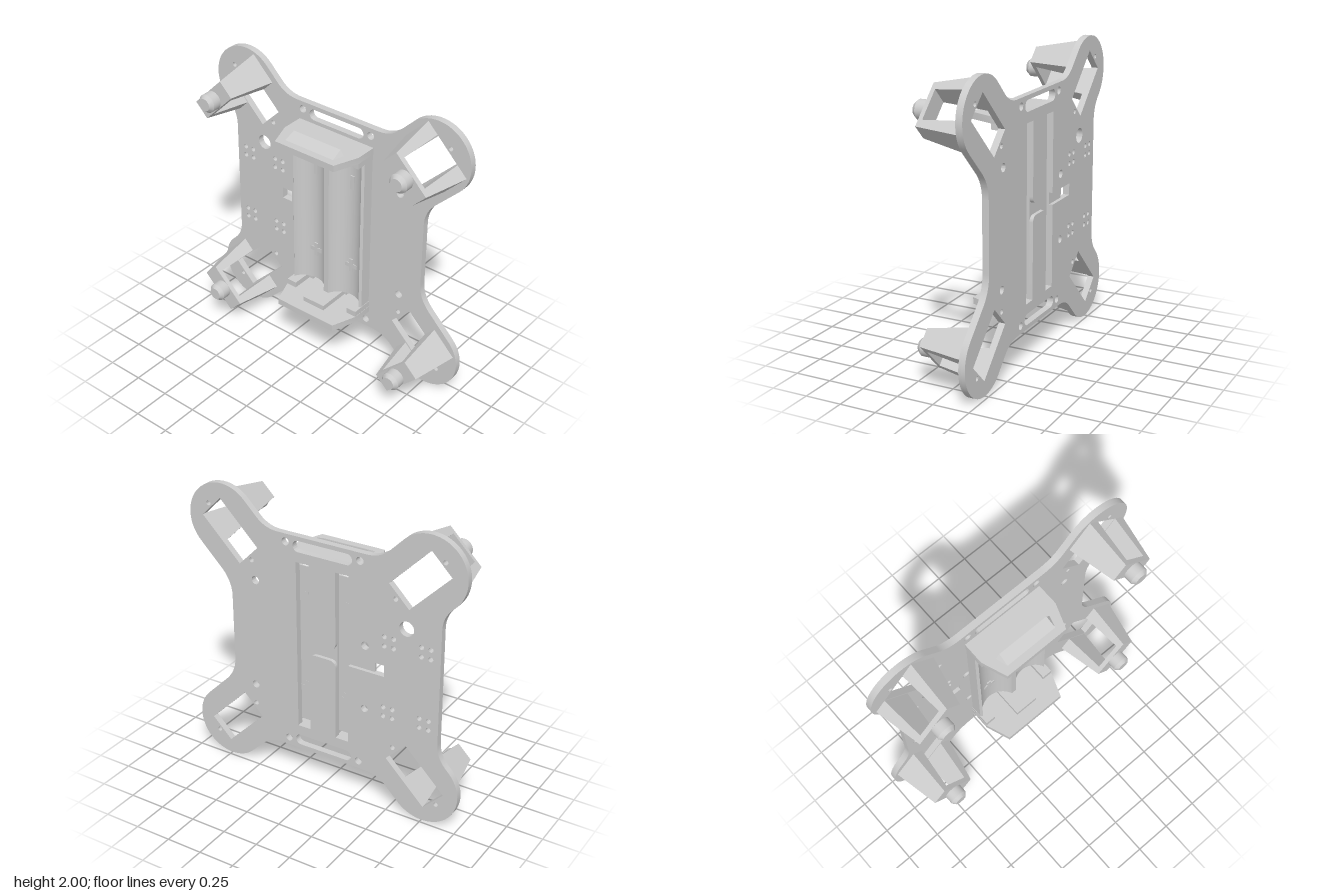
import * as THREE from 'three';
import { toCreasedNormals } from 'three/addons/utils/BufferGeometryUtils.js';
import { ConvexGeometry } from 'three/addons/geometries/ConvexGeometry.js';

const material = new THREE.MeshStandardMaterial({ color: 0xcccccc });
const BACK = -0.225, FACE = -0.18, FLOOR = -0.2; // plate back, plate front, wire channel floor

function add(parent, name, geometry) {
  const mesh = new THREE.Mesh(toCreasedNormals(geometry, 0.5), material);
  mesh.name = name;
  parent.add(mesh);
  return mesh;
}

function extrude(shape, depth) {
  return new THREE.ExtrudeGeometry(shape, { depth, bevelEnabled: false, curveSegments: 20 });
}

// Extrudes an (x, -z) section along +y, from y0 to y1
function extrudeUp(shape, y0, y1) {
  return extrude(shape, y1 - y0).rotateX(-Math.PI / 2).translate(0, y0, 0);
}

function polygon(points) {
  return new THREE.Shape(points.map(([x, y]) => new THREE.Vector2(x, y)));
}

function rect(x0, x1, y0, y1) {
  return polygon([[x0, y0], [x1, y0], [x1, y1], [x0, y1]]);
}

function circle(x, y, r) {
  return new THREE.Path().absarc(x, y, r, 0, Math.PI * 2, true);
}

// Box between two different rectangles at z0 and z1; each is [x0, x1, halfY]
function taperedBox(a, z0, b, z1) {
  const g = new THREE.BoxGeometry(1, 1, 1), p = g.attributes.position;
  for (let i = 0; i < p.count; i++) {
    const top = p.getZ(i) > 0, s = top ? b : a;
    p.setXYZ(i, p.getX(i) < 0 ? s[0] : s[1], Math.sign(p.getY(i)) * s[2], top ? z1 : z0);
  }
  g.computeVertexNormals();
  return g;
}

// Frame outline: four round lobes joined by curved waists
function outline() {
  const s = new THREE.Shape(), q = Math.PI / 4;
  s.moveTo(0.69, 0.77).lineTo(0.69, 1.23);
  s.quadraticCurveTo(0.69, 1.336, 0.77, 1.416);
  s.absarc(0.75, 1.75, 0.25, -q, 3 * q, false);
  s.lineTo(0.48, 1.834).quadraticCurveTo(0.416, 1.77, 0.32, 1.77);
  s.lineTo(-0.32, 1.77).quadraticCurveTo(-0.416, 1.77, -0.48, 1.834);
  s.absarc(-0.75, 1.75, 0.25, q, 5 * q, false);
  s.lineTo(-0.91, 1.556).quadraticCurveTo(-0.845, 1.491, -0.845, 1.4);
  s.lineTo(-0.845, 0.6).quadraticCurveTo(-0.845, 0.509, -0.91, 0.444);
  s.absarc(-0.75, 0.25, 0.25, 3 * q, 7 * q, false);
  s.lineTo(-0.48, 0.166).quadraticCurveTo(-0.416, 0.23, -0.32, 0.23);
  s.lineTo(0.32, 0.23).quadraticCurveTo(0.416, 0.23, 0.48, 0.166);
  s.absarc(0.75, 0.25, 0.25, 5 * q, 9 * q, false);
  s.lineTo(0.77, 0.584).quadraticCurveTo(0.69, 0.664, 0.69, 0.77);
  return s;
}

// Openings that run through the whole plate
function throughHoles() {
  const holes = [];
  for (const sx of [-1, 1]) for (const sy of [-1, 1]) {
    // Window along the diagonal of each lobe
    const at = (u, v) => [sx * (0.75 + (v + u) * Math.SQRT1_2), 1 + sy * (0.75 + (v - u) * Math.SQRT1_2)];
    holes.push(polygon([at(-0.1, -0.283), at(0.1, -0.283), at(0.1, 0.11), at(-0.1, 0.11)]));
    holes.push(circle(sx * 0.85, 1 + sy * 0.845, 0.016), circle(sx * 0.527, 1 + sy * 0.527, 0.017));
    holes.push(circle(sx * 0.27 - 0.005, 1 + sy * 0.716, 0.026));
  }
  // Strap slots
  for (const y of [0.297, 1.703]) {
    const slot = new THREE.Path();
    slot.absarc(0.172, y, 0.038, -Math.PI / 2, Math.PI / 2, false);
    slot.absarc(-0.182, y, 0.038, Math.PI / 2, Math.PI * 1.5, false);
    holes.push(slot);
  }
  // Pin hole clusters
  for (const x of [-0.777, -0.712, -0.519, -0.453])
    for (const y of [1.252, 1.187, 0.752, 0.687]) holes.push(circle(x, y, 0.017));
  holes.push(circle(-0.607, 1.347, 0.051), circle(0.503, 1.39, 0.028), circle(0.525, 0.617, 0.027));
  holes.push(circle(-0.317, 1.15, 0.028), circle(-0.317, 0.697, 0.026));
  return holes;
}

// Two wire grooves with a cross channel, open at the back
function wireChannel() {
  const s = new THREE.Path(), r = 0.05;
  s.moveTo(-0.455, 0.97).lineTo(-0.195, 0.97).lineTo(-0.195, 0.405).lineTo(-0.1, 0.405);
  s.lineTo(-0.1, 0.97 - r).quadraticCurveTo(-0.1, 0.97, -0.1 + r, 0.97);
  s.lineTo(0.095 - r, 0.97).quadraticCurveTo(0.095, 0.97, 0.095, 0.97 - r);
  s.lineTo(0.095, 0.405).lineTo(0.19, 0.405).lineTo(0.19, 1.595).lineTo(0.095, 1.595);
  s.lineTo(0.095, 1.05 + r).quadraticCurveTo(0.095, 1.05, 0.095 - r, 1.05);
  s.lineTo(-0.1 + r, 1.05).quadraticCurveTo(-0.1, 1.05, -0.1, 1.05 + r);
  s.lineTo(-0.1, 1.595).lineTo(-0.195, 1.595).lineTo(-0.195, 1.05).lineTo(-0.455, 1.05);
  return s;
}

function createPlate() {
  const plate = new THREE.Group();
  plate.name = 'framePlate';
  const back = outline();
  back.holes = [...throughHoles(), wireChannel()];
  add(plate, 'plateBackLayer', extrude(back, FLOOR - BACK)).position.z = BACK;
  const front = outline();
  front.holes = [...throughHoles(), rect(-0.455, -0.375, 0.97, 1.05),
    rect(-0.195, -0.1, 0.405, 1.595), rect(0.095, 0.19, 0.405, 1.595)];
  add(plate, 'plateFrontLayer', extrude(front, FACE - FLOOR)).position.z = FLOOR;
  return plate;
}

// Arched motor bracket with a round peg
function createBracket() {
  const g = new THREE.Group();
  for (const s of [-1, 1]) {
    const span = (a, b) => (s > 0 ? [a, b] : [-b, -a]);
    add(g, 'bracketLeg', taperedBox([...span(0.107, 0.205), 0.109], FACE, [...span(0.107, 0.155), 0.064], 0.14));
  }
  add(g, 'bracketBridge', taperedBox([-0.107, 0.107, 0.068], 0.11, [-0.107, 0.107, 0.064], 0.14));
  const profile = [[0, 0.14], [0.063, 0.14], [0.063, 0.2], [0.042, 0.225], [0, 0.225]];
  const peg = new THREE.LatheGeometry(profile.map(([r, h]) => new THREE.Vector2(r, h)), 32);
  add(g, 'bracketPeg', peg.rotateX(Math.PI / 2));
  return g;
}

function createBatteryHolder() {
  const g = new THREE.Group();
  g.name = 'batteryHolder';
  // Twin concave cradle
  const cells = [-0.153, 0.143], r = 0.14, axis = 0.03, half = Math.acos(0.07 / r);
  const section = new THREE.Shape();
  section.moveTo(-0.295, -FACE).lineTo(-0.295, 0.1);
  for (const x of cells)
    section.absarc(x, axis, r, Math.PI / 2 + half + 0.12, Math.PI / 2 - half - 0.12, true);
  section.lineTo(0.285, 0.1).lineTo(0.285, -FACE);
  add(g, 'cellCradle', extrudeUp(section, 0.44, 1.56));

  // Polarity marks
  for (const x of cells) {
    const mark = (w, h, y) => add(g, 'polarityMark', new THREE.BoxGeometry(w, h, 0.02)).position.set(x, y, -0.171);
    mark(0.03, 0.1, 1.335);
    mark(0.03, 0.1, 0.685);
    mark(0.1, 0.03, 0.685);
  }

  // End walls, mirrored top and bottom
  const wall = polygon([[-0.3, -FACE], [-0.3, 0.03], [-0.237, -0.14], [0.227, -0.14], [0.29, 0.03], [0.29, -FACE]]);
  for (const s of [-1, 1]) {
    const up = (shape, a, b) => extrudeUp(shape, s > 0 ? 1 + a : 1 - b, s > 0 ? 1 + b : 1 - a);
    add(g, 'endWall', up(wall, 0.595, 0.64));
    add(g, 'endCornerLeft', up(rect(0.215, 0.288, 0.03, -FACE), 0.555, 0.597));
    add(g, 'endCornerRight', up(rect(-0.298, -0.225, 0.03, -FACE), 0.555, 0.597));
    add(g, 'endTab', up(rect(-0.09, 0.08, -0.05, -FACE), 0.56, 0.597));
    // Sloped finger grip
    const grip = [];
    for (const m of [-1, 1]) for (const [x, y, z] of [[0.215, 0.635, 0.01], [0.185, 0.675, 0.01], [0.19, 0.635, 0.1]])
      grip.push(new THREE.Vector3(m * x - 0.005, 1 + s * y, z));
    add(g, 'endGrip', new ConvexGeometry(grip));
  }
  return g;
}

export function createModel() {
  const model = new THREE.Group();
  model.name = 'quadFrame';
  model.add(createPlate(), createBatteryHolder());
  for (const sx of [-1, 1]) for (const sy of [-1, 1]) {
    const bracket = createBracket();
    bracket.name = (sy > 0 ? 'upper' : 'lower') + (sx > 0 ? 'Left' : 'Right') + 'Bracket';
    bracket.position.set(sx * 0.75, 1 + sy * 0.752, 0);
    bracket.rotation.z = -sx * sy * Math.PI / 4;
    model.add(bracket);
  }
  return model;
}
